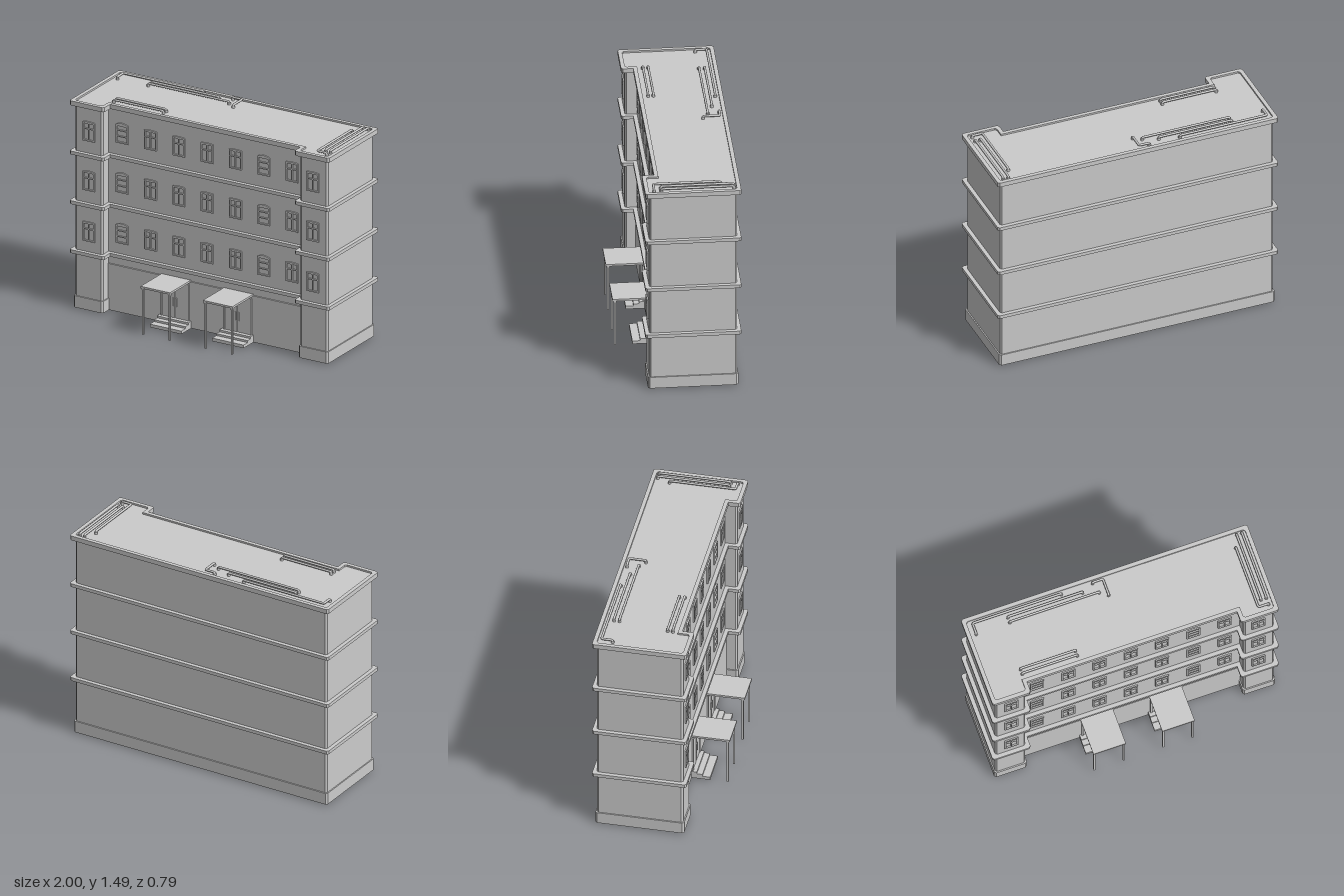
import * as THREE from 'three';

const grey = new THREE.MeshStandardMaterial({ color: 0xcccccc, side: THREE.DoubleSide });

const FRONT = 0.21, RECESS = 0.13; // wall planes of the wings and of the middle

function add(parent, name, geometry, x = 0, y = 0, z = 0) {
  const mesh = new THREE.Mesh(geometry, grey);
  mesh.name = name;
  mesh.position.set(x, y, z);
  parent.add(mesh);
  return mesh;
}

function box(parent, name, x0, x1, y0, y1, z0, z1) {
  return add(parent, name, new THREE.BoxGeometry(x1 - x0, y1 - y0, z1 - z0),
    (x0 + x1) / 2, (y0 + y1) / 2, (z0 + z1) / 2);
}

// Floor plan with two wings, pushed out by o, outer corners cut by c
function plan(o, c = 0.012) {
  const X = 0.972 + o, I = 0.76 - o, F = FRONT + o, R = RECESS + o, B = -0.37 - o;
  const pts = [[-X, B, 1], [-X, F, 1], [-I, F, 1], [-I, R, 0], [I, R, 0], [I, F, 1], [X, F, 1], [X, B, 1]];
  const out = [];
  pts.forEach(([x, z, cut], i) => {
    const p = new THREE.Vector2(x, -z);
    if (!cut) return out.push(p);
    for (const j of [i + 7, i + 1]) {
      const q = pts[j % 8];
      const d = new THREE.Vector2(q[0], -q[1]).sub(p).normalize();
      out.push(p.clone().addScaledVector(d, c));
    }
  });
  return out;
}

// Solid or ring-shaped storey element following the plan
function storey(parent, name, y0, y1, outer, inner) {
  const shape = new THREE.Shape(plan(outer));
  if (inner !== undefined) shape.holes.push(new THREE.Path(plan(inner)));
  const geo = new THREE.ExtrudeGeometry(shape, { depth: y1 - y0, bevelEnabled: false });
  geo.rotateX(-Math.PI / 2);
  add(parent, name, geo, 0, y0, 0);
}

function rect(target, x0, x1, y0, y1, rise = 0) {
  target.moveTo(x0, y0);
  target.lineTo(x1, y0);
  target.lineTo(x1, y1);
  if (rise) target.quadraticCurveTo((x0 + x1) / 2, y1 + 2 * rise, x0, y1);
  else target.lineTo(x0, y1);
  target.closePath();
  return target;
}

// Window frame with glazing bars; columns and rows are pane limits
function windowGeometry(columns, rows, rise) {
  const shape = rect(new THREE.Shape(), -0.047, 0.047, -0.07, 0.066 - rise / 2, rise);
  for (const [x0, x1] of columns)
    for (const [y0, y1] of rows) shape.holes.push(rect(new THREE.Path(), x0, x1, y0, y1));
  return new THREE.ExtrudeGeometry(shape, { depth: 0.012, bevelEnabled: false, curveSegments: 6 });
}

// Pipe along [x, z] points with rounded bends, both ends turned down into the roof
function roofPipe(parent, route) {
  const y = 1.48, r = 0.012;
  const pts = route.map(([x, z]) => new THREE.Vector3(x, y, z));
  const ends = [pts[0], pts[pts.length - 1]].map((p) => p.clone().setY(1.455));
  const all = [ends[0], ...pts, ends[1]];
  const path = new THREE.CurvePath();
  let last = all[0];
  for (let i = 1; i < all.length - 1; i++) {
    const p = all[i];
    const a = p.clone().addScaledVector(all[i - 1].clone().sub(p).normalize(), r);
    const b = p.clone().addScaledVector(all[i + 1].clone().sub(p).normalize(), r);
    path.add(new THREE.LineCurve3(last, a));
    path.add(new THREE.QuadraticBezierCurve3(a, p, b));
    last = b;
  }
  path.add(new THREE.LineCurve3(last, ends[1]));
  add(parent, 'roofPipe', new THREE.TubeGeometry(path, 120, 0.008, 8));
  for (const e of ends)
    add(parent, 'pipeCollar', new THREE.CylinderGeometry(0.011, 0.011, 0.018, 10), e.x, 1.466, e.z);
}

function entrance(cx) {
  const g = new THREE.Group();
  g.name = 'entrance';
  g.position.x = cx;
  // Canopy on two slim posts
  box(g, 'canopy', -0.113, 0.113, 0.329, 0.343, RECESS, 0.395);
  for (const s of [-1, 1]) {
    box(g, 'canopyPost', s * 0.102 - 0.006, s * 0.102 + 0.006, 0, 0.33, 0.373, 0.385);
    box(g, 'postCap', s * 0.102 - 0.009, s * 0.102 + 0.009, 0.318, 0.33, 0.37, 0.388);
  }
  // Steps
  [[0.008, 0.03, 0.265], [0.03, 0.044, 0.213], [0.044, 0.058, 0.175]].forEach(([y0, y1, z]) =>
    box(g, 'step', -0.121, 0.121, y0, y1, RECESS, z));
  // Double door in a frame, showing inside as well
  const frame = rect(new THREE.Shape(), -0.108, 0.108, 0.012, 0.315);
  frame.holes.push(rect(new THREE.Path(), -0.096, 0.096, 0.02, 0.303));
  add(g, 'doorFrame', new THREE.ExtrudeGeometry(frame, { depth: 0.036, bevelEnabled: false }), 0, 0, 0.115);
  for (const s of [-1, 1]) {
    box(g, 'doorLeaf', s * 0.049 - 0.046, s * 0.049 + 0.046, 0.02, 0.303, 0.117, 0.146);
    box(g, 'doorHandle', s * 0.014 - 0.003, s * 0.014 + 0.003, 0.14, 0.2, 0.146, 0.153);
  }
  return g;
}

export function createModel() {
  const model = new THREE.Group();
  model.name = 'building';

  // Hollow walls, open below, with plinth, floor bands, cornice and sunken roof
  storey(model, 'walls', 0.008, 1.45, 0, -0.008);
  storey(model, 'plinth', 0.008, 0.09, 0.008, -0.003);
  for (const y of [0.394, 0.741, 1.092]) storey(model, 'floorBand', y, y + 0.024, 0.027, -0.003);
  storey(model, 'cornice', 1.439, 1.471, 0.027, 0);
  storey(model, 'roof', 1.445, 1.459, 0.002);
  box(model, 'groundFloorPanel', -0.76, 0.76, 0.008, 0.335, RECESS - 0.004, RECESS + 0.01);

  // Windows on three floors: seven in the middle, one on each wing
  const crossed = windowGeometry([[-0.037, -0.004], [0.004, 0.037]], [[-0.06, 0.014], [0.022, 0.054]], 0.004);
  const barred = windowGeometry([[-0.037, 0.037]], [[-0.06, -0.026], [-0.018, 0.016], [0.024, 0.05]], 0.012);
  for (const y of [0.563, 0.922, 1.272]) {
    for (let i = -3; i <= 3; i++)
      add(model, 'window', i === -3 || i === 2 ? barred : crossed, i * 0.218, y, RECESS - 0.003);
    for (const s of [-1, 1]) add(model, 'wingWindow', crossed, s * 0.862, y, FRONT - 0.003);
  }

  for (const s of [-1, 1]) model.add(entrance(s * 0.24));

  // Roof pipes
  [
    [[-0.936, -0.27], [-0.936, -0.345], [-0.316, -0.345]],
    [[-0.7, -0.31], [-0.18, -0.31]],
    [[-0.7, -0.273], [-0.077, -0.273]],
    [[-0.096, -0.35], [-0.024, -0.35], [-0.024, -0.237]],
    [[-0.743, 0.059], [-0.36, 0.059]],
    [[-0.743, 0.094], [-0.36, 0.094]],
    [[0.909, -0.353], [0.909, 0.128]],
    [[0.946, -0.353], [0.946, 0.128]],
    [[0.874, -0.267], [0.874, 0.176], [0.946, 0.176]],
  ].forEach((route) => roofPipe(model, route));

  return model;
}
